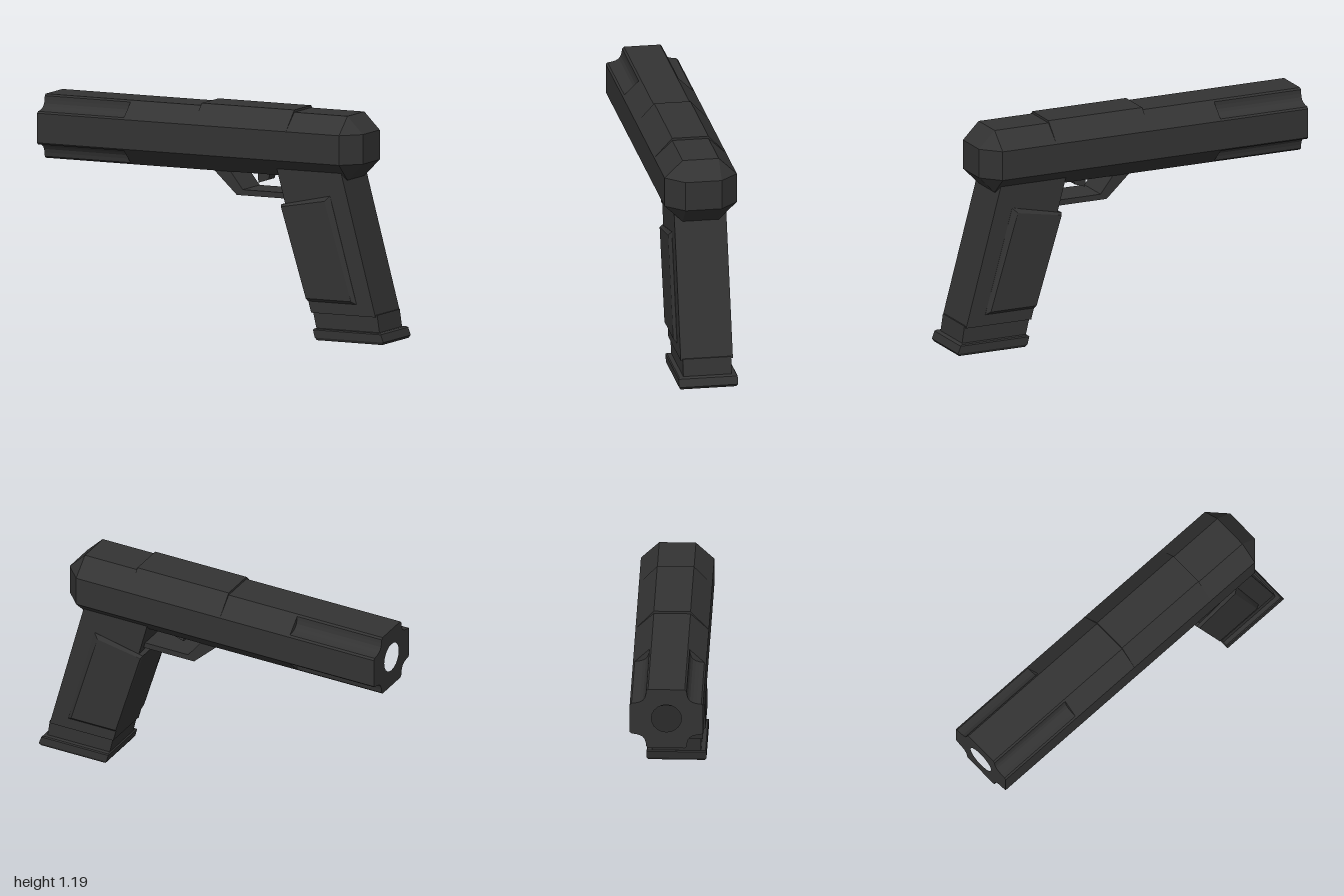
import * as THREE from 'three';

const material = new THREE.MeshStandardMaterial({ color: 0x333333, flatShading: true });

function add(group, name, geometry) {
  const mesh = new THREE.Mesh(geometry, material);
  mesh.name = name;
  group.add(mesh);
}

// Skins a row of equal-length convex rings and caps both ends, always facing outward.
function loft(rings) {
  const tris = [];
  const tri = (a, b, c) => tris.push([a, b, c]);
  const n = rings[0].length;
  for (let r = 0; r < rings.length - 1; r++) {
    for (let i = 0; i < n; i++) {
      const j = (i + 1) % n, p = rings[r], q = rings[r + 1];
      tri(p[i], p[j], q[j]);
      tri(p[i], q[j], q[i]);
    }
  }
  const first = rings[0], last = rings[rings.length - 1];
  for (let i = 1; i < n - 1; i++) {
    tri(first[0], first[i + 1], first[i]);
    tri(last[0], last[i], last[i + 1]);
  }
  let volume = 0;
  for (const [a, b, c] of tris) volume += a.clone().cross(b).dot(c);
  const points = tris.flatMap(([a, b, c]) => (volume > 0 ? [a, b, c] : [a, c, b]))
    .filter(Boolean);
  const geometry = new THREE.BufferGeometry().setFromPoints(points);
  geometry.computeVertexNormals();
  return geometry;
}

// Eight-sided section in the zy plane at a given x.
function octagon(x, top, side = 0.19, bottom = 0.84) {
  return [[0.095, top], [side, 1.085], [side, 0.93], [0.095, bottom],
    [-0.095, bottom], [-side, 0.93], [-side, 1.085], [-0.095, top]]
    .map(([z, y]) => new THREE.Vector3(x, y, z));
}

// Side profile placed at a given z.
const profile = (points, z) => points.map(([x, y]) => new THREE.Vector3(x, y, z));
const slab = (points, halfWidth) => loft([profile(points, -halfWidth), profile(points, halfWidth)]);

// Octagon whose four diagonal sides are scooped inward, with a round bore.
function barrelGeometry() {
  const corners = octagon(0, 1.175);
  const outline = [];
  corners.forEach((p, i) => {
    const q = corners[(i + 1) % 8];
    outline.push(new THREE.Vector2(p.z, p.y));
    if (i % 2) return;
    const inward = new THREE.Vector2(-(p.z + q.z), 2.015 - (p.y + q.y)).normalize();
    for (let k = 0; k <= 6; k++) {
      const t = 0.1 + 0.8 * k / 6;
      const depth = 0.027 * Math.sin(Math.PI * k / 6);
      outline.push(new THREE.Vector2(
        p.z + (q.z - p.z) * t + inward.x * depth,
        p.y + (q.y - p.y) * t + inward.y * depth));
    }
  });
  const shape = new THREE.Shape(outline);
  shape.holes.push(new THREE.Path().absarc(0, 1.01, 0.078, 0, Math.PI * 2, true));
  return new THREE.ExtrudeGeometry(shape, { depth: 0.5, bevelEnabled: false, curveSegments: 10 })
    .rotateY(Math.PI / 2).translate(-1, 0, 0);
}

export function createModel() {
  const model = new THREE.Group();
  model.name = 'pistol';

  // Upper body: scooped barrel, plain slide with tapered rear, raised middle
  add(model, 'barrel', barrelGeometry());
  add(model, 'slide', loft([octagon(-0.5, 1.175), octagon(0.76, 1.175),
    octagon(0.85, 1.085, 0.095, 0.93)]));
  add(model, 'raisedCover', loft([-0.09, 0.45].map((x) => octagon(x, 1.187, 0.1902, 0.8402))));

  // Slanted grip
  add(model, 'grip', slab([[0.37, 0.88], [0.745, 0.88], [0.945, 0.14], [0.57, 0.14]], 0.137));

  // Bevelled panels on both sides, joined around the front of the grip
  const base = [[0.395, 0.695], [0.68, 0.757], [0.835, 0.2], [0.552, 0.2]];
  const face = [[0.402, 0.685], [0.655, 0.73], [0.81, 0.215], [0.547, 0.215]];
  add(model, 'gripPanels', loft([profile(face, -0.153), profile(base, -0.138),
    profile(base, 0.138), profile(face, 0.153)]));

  // Magazine and its foot plate
  add(model, 'magazine', slab([[0.575, 0.15], [0.95, 0.15], [0.965, 0.05], [0.598, 0.05]], 0.127));
  const plate = (x0, x1, y, z) => [[x0, z], [x1, z], [x1, -z], [x0, -z]]
    .map(([x, w]) => new THREE.Vector3(x, y, w));
  add(model, 'footPlate', loft([plate(0.61, 0.99, 0, 0.147), plate(0.6, 1, 0.014, 0.155),
    plate(0.59, 0.985, 0.054, 0.155), plate(0.595, 0.975, 0.06, 0.15)]));

  // Trigger guard
  const guard = new THREE.Shape([[-0.02, 0.845], [0.115, 0.72], [0.43, 0.72], [0.43, 0.75],
    [0.15, 0.75], [0.075, 0.845]].map(([x, y]) => new THREE.Vector2(x, y)));
  add(model, 'triggerGuard', new THREE.ExtrudeGeometry(guard, { depth: 0.19, bevelEnabled: false })
    .translate(0, 0, -0.095));

  // Trigger
  add(model, 'trigger', slab([[0.205, 0.845], [0.28, 0.845], [0.268, 0.802], [0.21, 0.783]], 0.035));

  return model;
}
